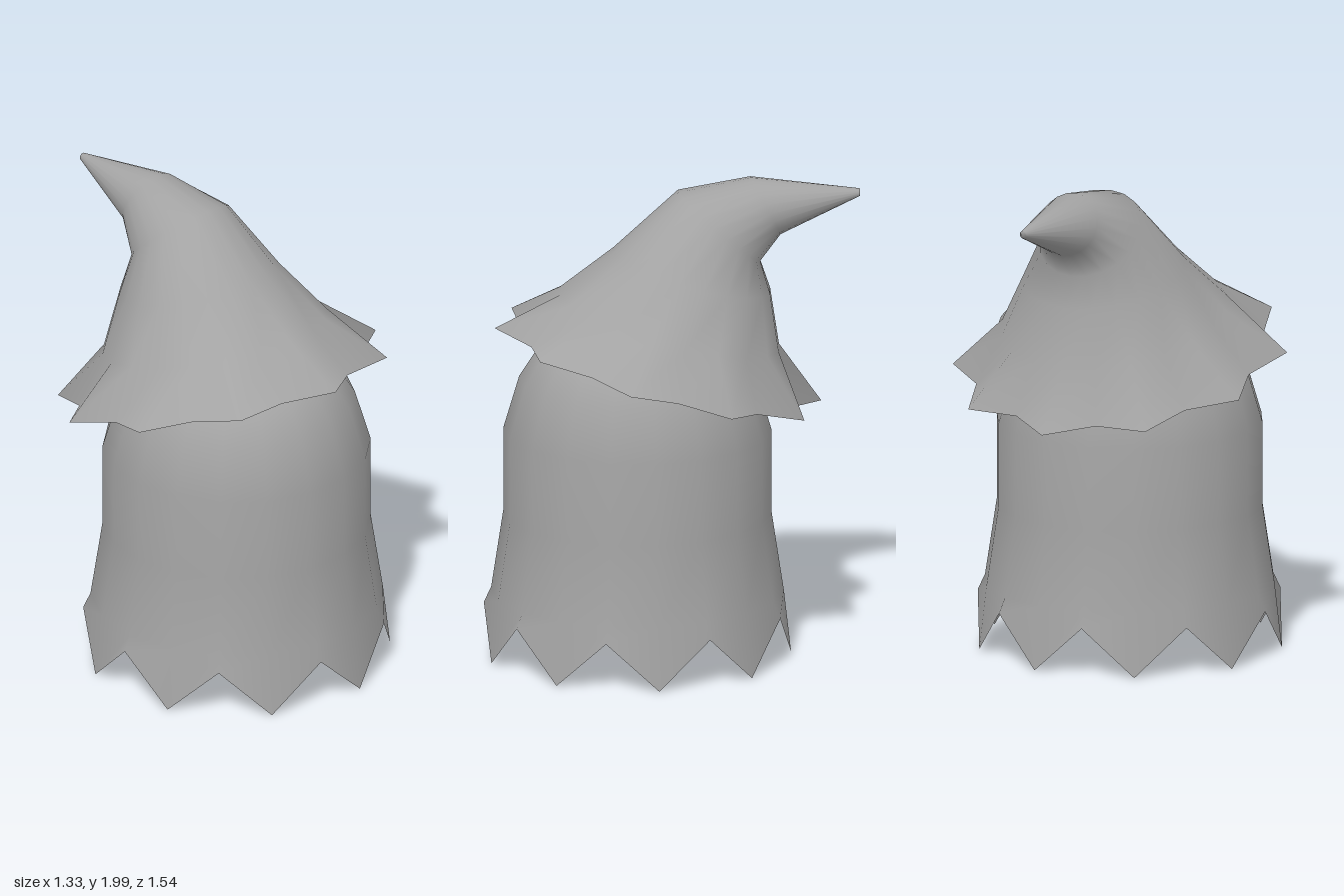
import * as THREE from 'three';

// Smooth skin over closed rings of equal point count, listed bottom to top
function loft(rings, capTop) {
  const n = rings[0].length;
  const pos = rings.flat().flatMap((p) => [p.x, p.y, p.z]);
  const idx = [];
  for (let r = 0; r < rings.length - 1; r++) {
    for (let i = 0; i < n; i++) {
      const a = r * n + i, b = r * n + (i + 1) % n;
      idx.push(a, b, b + n, a, b + n, a + n);
    }
  }
  if (capTop) {
    const s = (rings.length - 1) * n;
    for (let i = 1; i < n - 1; i++) idx.push(s, s + i, s + i + 1);
  }
  const g = new THREE.BufferGeometry();
  g.setAttribute('position', new THREE.Float32BufferAttribute(pos, 3));
  g.setIndex(idx);
  g.computeVertexNormals();
  return g;
}

// Ring of n points, angle 0 at the front, tipped back by tilt about x
function ring(n, y, z, radius, tilt = 0, start = 0, drop = () => 0) {
  return Array.from({ length: n }, (_, i) => {
    const a = start + (i / n) * Math.PI * 2;
    const r = typeof radius === 'function' ? radius(i) : radius;
    const d = r * Math.cos(a);
    return new THREE.Vector3(r * Math.sin(a), y + d * Math.sin(tilt) - drop(i), z + d * Math.cos(tilt));
  });
}

export function createModel() {
  const grey = new THREE.MeshStandardMaterial({ color: 0xa3a3a3, side: THREE.DoubleSide });
  grey.name = 'grey cloth';
  const model = new THREE.Group();
  model.name = 'ghostWithHat';
  const add = (name, geometry, parent) => {
    const mesh = new THREE.Mesh(geometry, grey);
    mesh.name = name;
    parent.add(mesh);
  };

  // Hollow sheet body with nine teeth along the hem
  const deg = Math.PI / 180;
  const zigzag = (i) => (i % 2 === 0 ? 0.2 : 0);
  const profile = [[0.6, 0.27], [0.55, 0.6], [0.55, 0.95], [0.485, 1.17],
    [0.415, 1.28], [0.35, 1.335], [0.2, 1.4], [0.02, 1.42]];
  add('sheetBody', loft([
    ring(18, 0.205, 0.15, 0.63, 0, 10 * deg, zigzag),
    ...profile.map(([r, y]) => ring(18, y, 0.15, r, 0, 10 * deg)),
  ], true), model);

  // Bent pointed hat with a ten-pointed brim
  const hat = new THREE.Group();
  hat.name = 'hat';
  model.add(hat);
  const brim = ring(20, 1.22, 0.065, (i) => (i % 2 === 0 ? 0.7 : 0.6), 15 * deg);
  // [y, z, radius, tilt in degrees]
  const bends = [[1.41, 0.018, 0.47, 15], [1.615, -0.075, 0.336, 15],
    [1.802, -0.188, 0.223, 41], [1.88, -0.38, 0.134, 63.5], [1.92, -0.77, 0.016, 90]];
  add('hatCone', loft([
    brim,
    ...bends.map(([y, z, r, t]) => ring(20, y, z, r, t * deg)),
  ], true), hat);

  // Flat underside of the brim, facing down
  const centre = brim.map(() => new THREE.Vector3(0, 1.22, 0.065));
  add('brimUnderside', loft([centre, brim]), hat);

  return model;
}
